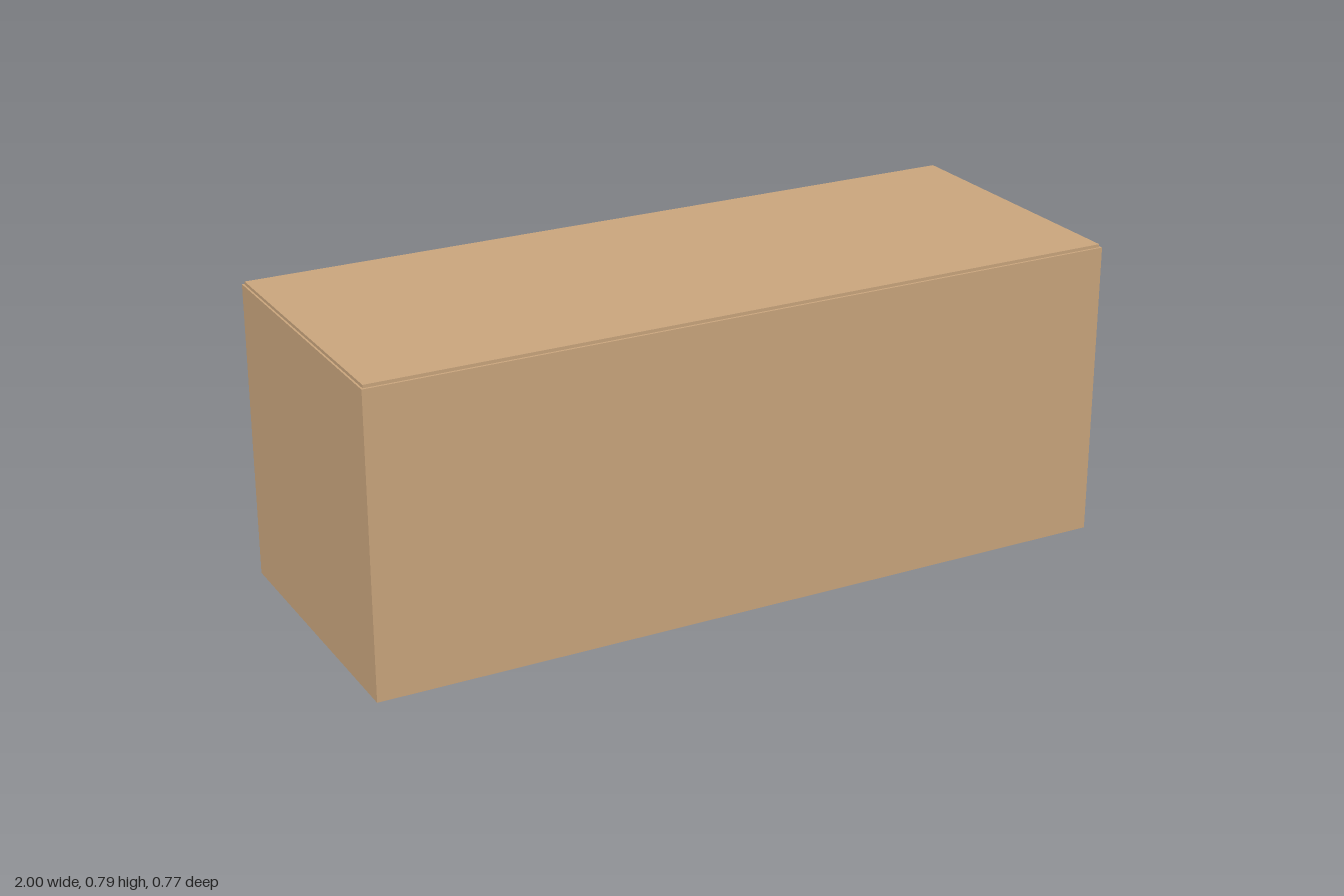
import * as THREE from 'three';

// Open-bottomed hollow case made of thin butted panels
export function createModel() {
  const group = new THREE.Group();
  const cardboard = new THREE.MeshStandardMaterial({ color: 0xc8a47c });
  const T = 0.008;            // panel thickness
  const H = 0.778;            // wall height
  const seams = [-1, -0.592, -0.197, 0.197, 0.592, 1];

  const panel = (name, x0, x1, y0, y1, z0, z1) => {
    const mesh = new THREE.Mesh(new THREE.BoxGeometry(x1 - x0, y1 - y0, z1 - z0), cardboard);
    mesh.position.set((x0 + x1) / 2, (y0 + y1) / 2, (z0 + z1) / 2);
    mesh.name = name;
    group.add(mesh);
  };

  // Five bays: a front, back and roof panel each
  for (let i = 0; i < 5; i++) {
    const a = seams[i], b = seams[i + 1];
    panel('frontPanel' + (i + 1), a, b, 0, H, 0.377, 0.377 + T);
    panel('backPanel' + (i + 1), a, b, 0, H, -0.377 - T, -0.377);
    panel('roofPanel' + (i + 1), Math.max(a, -0.995), Math.min(b, 0.995), H, H + T, -0.379, 0.379);
  }

  // End walls, each of two panels meeting at the middle
  for (const [side, x] of [['right', -1], ['left', 1 - T]]) {
    panel(side + 'EndFrontHalf', x, x + T, 0, H, 0, 0.377);
    panel(side + 'EndBackHalf', x, x + T, 0, H, -0.377, 0);
  }
  return group;
}
